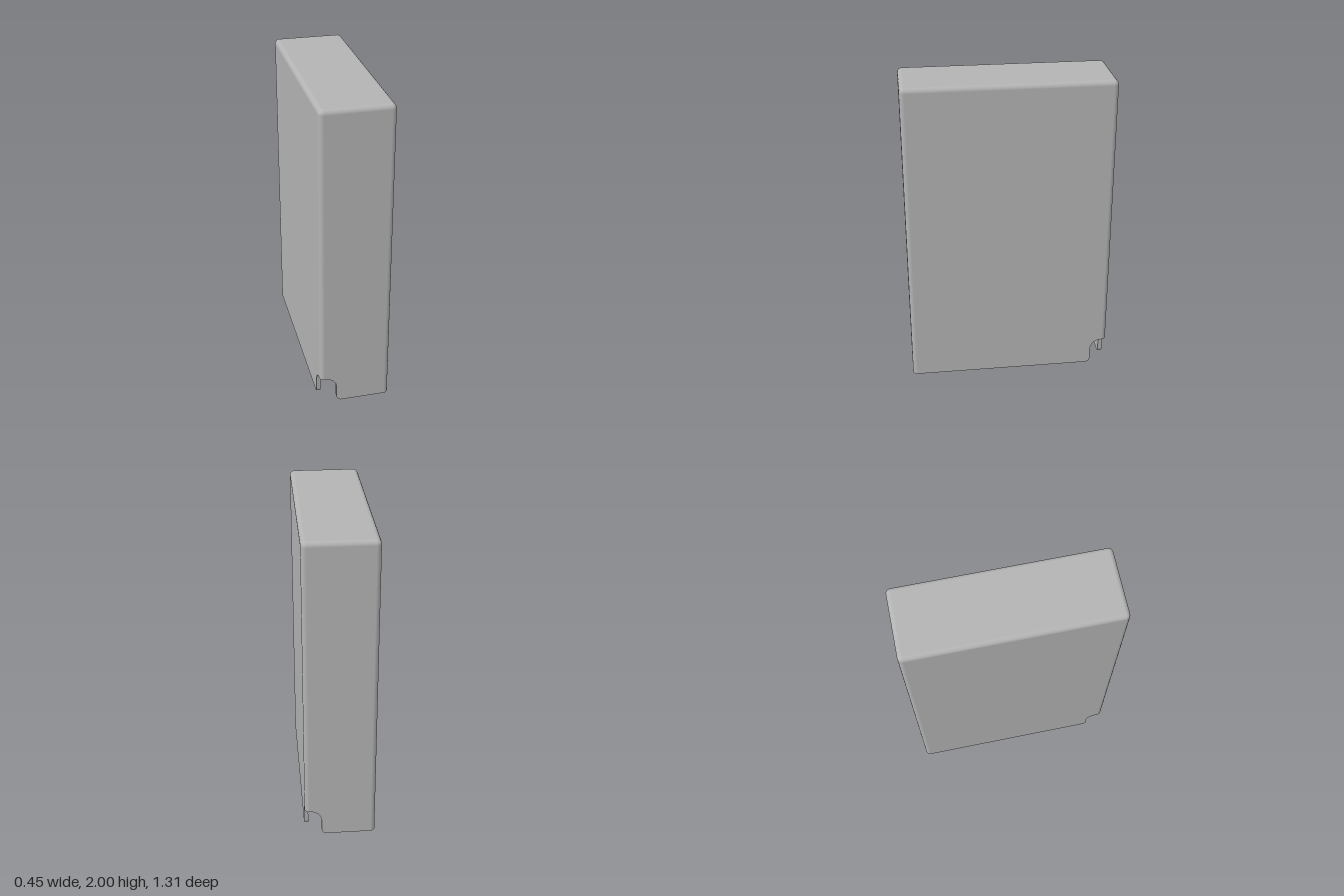
import * as THREE from 'three';
import { toCreasedNormals } from 'three/addons/utils/BufferGeometryUtils.js';

const HX = 0.225, HZ = 0.655, H = 2;   // half width, half depth, height
const R = 0.03, T = 0.027;             // edge radius, wall thickness
const STEPS = 6;                       // segments per rounded edge
const NOTCH = { d: 0.107, h: 0.175, arch: 0.07, foot: 0.032 };

// Notch outline from the corner outwards: [distance from corner, height]
function notchOutline() {
  const { d, h, arch, foot } = NOTCH, pts = [];
  for (let i = 0; i <= 10; i++) {
    const a = (i / 10) * Math.PI / 2;
    pts.push([d - arch + arch * Math.sin(a), h - arch + arch * Math.cos(a)]);
  }
  for (let i = 0; i <= STEPS; i++) {
    const a = (i / STEPS) * Math.PI / 2;
    pts.push([d + foot - foot * Math.cos(a), foot - foot * Math.sin(a)]);
  }
  return pts;
}

// Wall columns around the rounded rectangle: position, outward normal, bottom height
function wallColumns() {
  const cols = [], outline = notchOutline();
  const signs = [[1, 1], [-1, 1], [-1, -1], [1, -1]];
  signs.forEach(([sx, sz], k) => {
    const cx = sx * (HX - R), cz = sz * (HZ - R), notched = k % 2 === 1;
    const add = (angle, along, bottom) => {
      const nx = Math.cos(angle), nz = Math.sin(angle);
      cols.push({ x: cx + R * nx - nz * along, z: cz + R * nz + nx * along, nx, nz, bottom });
    };
    const a0 = k * Math.PI / 2, a1 = a0 + Math.PI / 2;
    if (notched) [...outline].reverse().forEach(([d, h]) => add(a0, R - d, h));
    for (let i = 0; i <= STEPS; i++) {
      add(a0 + (a1 - a0) * i / STEPS, 0, notched ? NOTCH.h : 0);
    }
    if (notched) outline.forEach(([d, h]) => add(a1, d - R, h));
  });
  return cols;
}

// Closed strip surface; profile(column) gives rows of { p, n }
function loft(cols, profile, flip = false) {
  const pos = [], nor = [], idx = [];
  const rows = profile(cols[0]).length;
  cols.forEach(c => profile(c).forEach(({ p, n }) => { pos.push(...p); nor.push(...n); }));
  cols.forEach((_, i) => {
    const j = (i + 1) % cols.length;
    for (let r = 0; r < rows - 1; r++) {
      const a = i * rows + r, b = a + 1, d = j * rows + r, c = d + 1;
      idx.push(...(flip ? [a, c, b, a, d, c] : [a, b, c, a, c, d]));
    }
  });
  const g = new THREE.BufferGeometry();
  g.setAttribute('position', new THREE.Float32BufferAttribute(pos, 3));
  g.setAttribute('normal', new THREE.Float32BufferAttribute(nor, 3));
  g.setIndex(idx);
  return g;
}

const inset = (c, d, y) => [c.x - c.nx * d, y, c.z - c.nz * d];

export function createModel() {
  const model = new THREE.Group();
  model.name = 'boxCover';
  const grey = new THREE.MeshStandardMaterial({ color: 0xb3b3b3 });
  grey.name = 'grey';
  const add = (name, geometry) => {
    const mesh = new THREE.Mesh(geometry, grey);
    mesh.name = name;
    model.add(mesh);
  };
  const cols = wallColumns();

  // Outer walls, rounded upper edge and top
  add('outerShell', loft(cols, c => {
    const rows = [{ p: inset(c, 0, c.bottom), n: [c.nx, 0, c.nz] }];
    for (let i = 0; i <= STEPS; i++) {
      const a = (i / STEPS) * Math.PI / 2, co = Math.cos(a), si = Math.sin(a);
      rows.push({ p: inset(c, R * (1 - co), H - R + R * si), n: [c.nx * co, si, c.nz * co] });
    }
    rows.push({ p: [0, H, 0], n: [0, 1, 0] });
    return rows;
  }));

  // Hollow inside
  add('innerWalls', loft(cols, c => [c.bottom, H - T].map(y => (
    { p: inset(c, T, y), n: [-c.nx, 0, -c.nz] })), true));
  add('innerCeiling', loft(cols, c => [inset(c, T, H - T), [0, H - T, 0]].map(p => (
    { p, n: [0, -1, 0] })), true));

  // Bottom rim, following the two corner notches
  const rim = loft(cols, c => [T, 0].map(d => ({ p: inset(c, d, c.bottom), n: [0, -1, 0] })));
  add('bottomRim', toCreasedNormals(rim, 0.4));

  return model;
}
